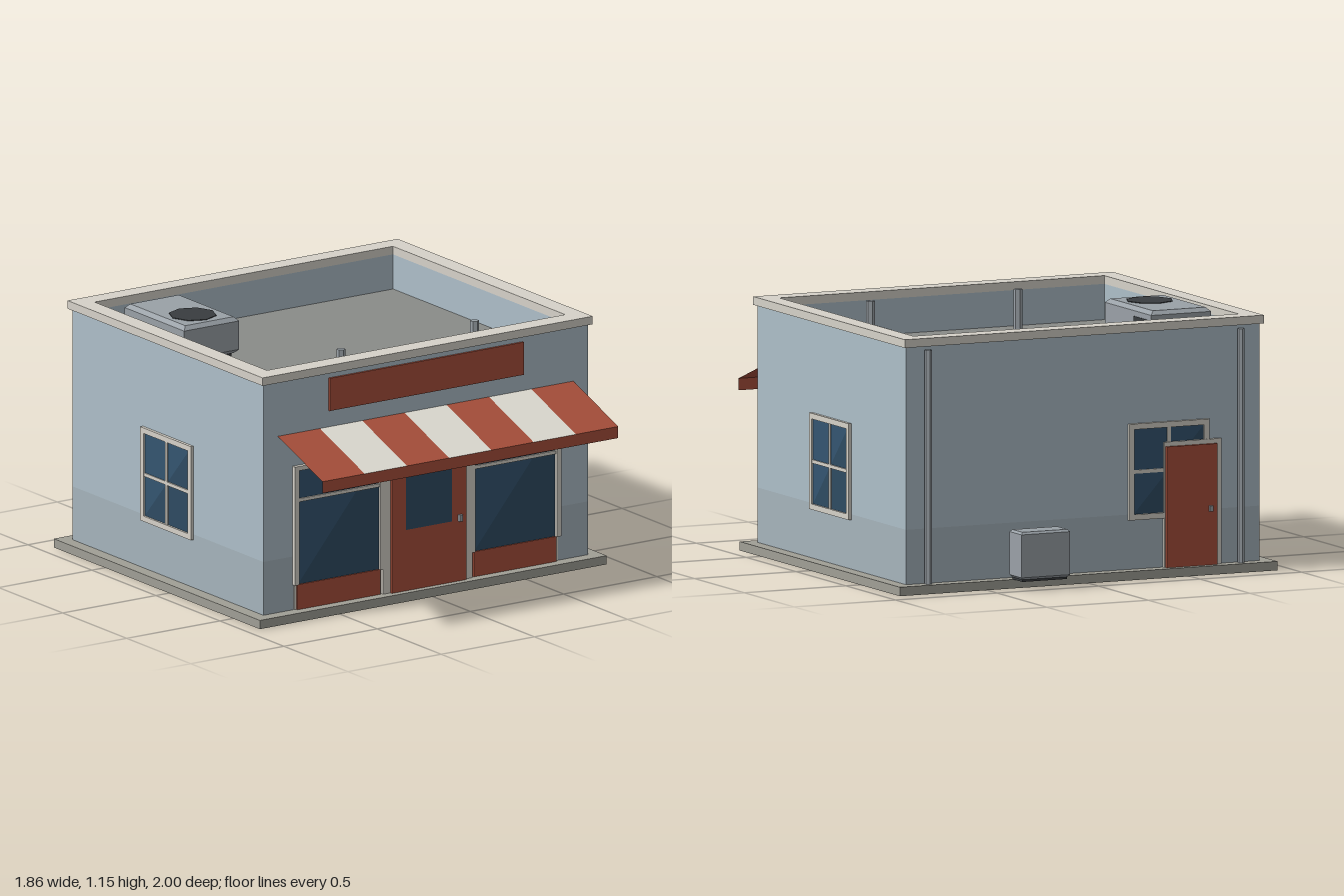
import * as THREE from 'three';

const mat = (color, side = THREE.FrontSide) =>
  new THREE.MeshStandardMaterial({ color, side, flatShading: true });
const M = {
  wall: mat(0xaebfc9), wallLow: mat(0xa6b4bc), trim: mat(0xd6d2c9), slab: mat(0xa09f96),
  roof: mat(0x8a8c89), red: mat(0xa84f3b), glass: mat(0x2e4b62), glint: mat(0x345571),
  metal: mat(0x9aa1a7), dark: mat(0x393c3f),
  clothRed: mat(0xa84f3b, THREE.DoubleSide), clothWhite: mat(0xe0ddd4, THREE.DoubleSide),
};

function add(parent, name, geo, material, x = 0, y = 0, z = 0) {
  const mesh = new THREE.Mesh(geo, material);
  mesh.name = name;
  mesh.position.set(x, y, z);
  parent.add(mesh);
  return mesh;
}

// Box given by its lower and upper limits on each axis
function box(parent, name, material, x0, x1, y0, y1, z0, z1) {
  return add(parent, name, new THREE.BoxGeometry(x1 - x0, y1 - y0, z1 - z0), material,
    (x0 + x1) / 2, (y0 + y1) / 2, (z0 + z1) / 2);
}

function group(parent, name) {
  const g = new THREE.Group();
  g.name = name;
  parent.add(g);
  return g;
}

// Rectangular ring in plan, extruded upwards
function ring(parent, name, material, o, i, y0, y1) {
  const rect = (T, [x, zb, zf]) => new T([[-x, -zf], [x, -zf], [x, -zb], [-x, -zb]]
    .map(p => new THREE.Vector2(...p)));
  const shape = rect(THREE.Shape, o);
  shape.holes.push(rect(THREE.Path, i));
  const geo = new THREE.ExtrudeGeometry(shape, { depth: y1 - y0, bevelEnabled: false });
  geo.rotateX(-Math.PI / 2);
  return add(parent, name, geo, material, 0, y0, 0);
}

// Box whose top is drawn in by a small chamfer
function chamferBox(parent, name, material, x0, x1, y0, y1, z0, z1, c) {
  const w = x1 - x0, d = z1 - z0;
  const shape = new THREE.Shape([[-w / 2 + c, -d / 2 + c], [w / 2 - c, -d / 2 + c],
    [w / 2 - c, d / 2 - c], [-w / 2 + c, d / 2 - c]].map(p => new THREE.Vector2(...p)));
  const geo = new THREE.ExtrudeGeometry(shape, { depth: y1 - y0 - 2 * c, bevelThickness: c,
    bevelSize: c, bevelSegments: 1 });
  geo.rotateX(-Math.PI / 2);
  return add(parent, name, geo, material, (x0 + x1) / 2, y0 + c, (z0 + z1) / 2);
}

// Glass with a lighter upper-left half as a reflection
function pane(parent, x0, x1, y0, y1, z) {
  box(parent, 'glass', M.glass, x0, x1, y0, y1, z - 0.01, z);
  const tri = new THREE.Shape([[x0, y0], [x1, y1], [x0, y1]].map(p => new THREE.Vector2(...p)));
  add(parent, 'glassReflection', new THREE.ShapeGeometry(tri), M.glint, 0, 0, z + 0.002);
}

// Four-pane window, facing +z, centred on its own origin
function fourPaneWindow(parent, name) {
  const g = group(parent, name), w = 0.198, h = 0.215, f = 0.025;
  pane(g, -w + f, w - f, -h + f, h - f, 0.005);
  for (const s of [-1, 1]) {
    const a = s * (w - f / 2), b = s * (h - f / 2);
    box(g, 'sideFrame', M.trim, a - f / 2, a + f / 2, -h, h, -0.01, 0.015);
    box(g, 'endFrame', M.trim, -w + f, w - f, b - f / 2, b + f / 2, -0.01, 0.015);
  }
  box(g, 'verticalBar', M.trim, -0.008, 0.008, -h + f, h - f, 0, 0.012);
  box(g, 'horizontalBar', M.trim, -w + f, w - f, -0.008, 0.008, 0, 0.012);
  return g;
}

function buildShopfront(root) {
  const front = group(root, 'shopfront');
  box(front, 'sign', M.red, -0.52, 0.52, 0.925, 1.075, 0.64, 0.66);

  // Display windows, one each side of the door
  for (const s of [-1, 1]) {
    const win = group(front, 'displayWindow');
    win.position.x = s * 0.4725;
    box(win, 'backing', M.trim, -0.235, 0.235, 0.04, 0.7, 0.64, 0.652);
    pane(win, -0.218, 0.218, 0.155, 0.68, 0.656);
    box(win, 'lowerPanel', M.red, -0.222, 0.222, 0.04, 0.155, 0.64, 0.662);
    box(win, 'transomBar', M.trim, -0.218, 0.218, 0.535, 0.55, 0.65, 0.665);
    box(win, 'topFrame', M.trim, -0.218, 0.218, 0.68, 0.7, 0.65, 0.67);
    for (const e of [-1, 1])
      box(win, 'frameSide', M.trim, e * 0.23 - 0.012, e * 0.23 + 0.012, 0.155, 0.7, 0.64, 0.67);
  }

  const door = group(front, 'frontDoor');
  box(door, 'doorFrame', M.trim, -0.24, 0.24, 0.04, 0.67, 0.64, 0.668);
  box(door, 'doorLeaf', M.red, -0.2, 0.2, 0.04, 0.64, 0.65, 0.679);
  box(door, 'doorGlass', M.glass, -0.125, 0.12, 0.32, 0.575, 0.66, 0.681);
  box(door, 'doorHandle', M.metal, 0.155, 0.173, 0.315, 0.345, 0.67, 0.692);

  // Striped awning: thin sloped strips with a hanging valance
  const awning = group(front, 'awning');
  const n = 7, half = 0.793, w = 2 * half / n, drop = 0.127, reach = 0.35;
  for (let i = 0; i < n; i++) {
    const strip = add(awning, 'awningStripe', new THREE.PlaneGeometry(w, Math.hypot(drop, reach)),
      i % 2 ? M.clothWhite : M.clothRed, -half + (i + 0.5) * w, 0.85 - drop / 2, 0.65 + reach / 2);
    strip.rotation.x = -Math.atan2(reach, drop);
  }
  add(awning, 'valance', new THREE.PlaneGeometry(2 * half, 0.053), M.clothRed, 0, 0.6965, 1);
}

function buildBack(root) {
  const back = group(root, 'backFittings');
  const win = fourPaneWindow(back, 'backWindow');
  win.position.set(-0.42, 0.475, -0.84);
  win.rotation.y = Math.PI;

  const door = group(back, 'backDoor');
  box(door, 'doorFrame', M.trim, -0.675, -0.395, 0.04, 0.6, -0.857, -0.83);
  box(door, 'doorLeaf', M.red, -0.65, -0.4, 0.04, 0.58, -0.87, -0.84);
  box(door, 'doorHandle', M.metal, -0.625, -0.607, 0.28, 0.305, -0.88, -0.86);

  for (const s of [-1, 1])
    add(back, 'downpipe', new THREE.CylinderGeometry(0.016, 0.016, 1.045, 6), M.metal,
      s * 0.77, 0.5625, -0.859);

  const unit = group(back, 'wallUnit');
  box(unit, 'unitFoot', M.dark, 0.15, 0.37, 0.04, 0.055, -0.99, -0.89);
  chamferBox(unit, 'unitBody', M.metal, 0.14, 0.38, 0.05, 0.262, -1, -0.88, 0.01);
}

function buildRoof(root) {
  const roof = group(root, 'roofEquipment'), y = 0.94;

  // Air conditioner on skids with a fan on top and a side grille
  const ac = group(roof, 'airConditioner');
  box(ac, 'skid', M.dark, -0.71, -0.465, y, 0.985, -0.6, -0.19);
  chamferBox(ac, 'housing', M.metal, -0.735, -0.44, 0.985, 1.152, -0.63, -0.165, 0.018);
  const fan = add(ac, 'fan', new THREE.CylinderGeometry(0.107, 0.107, 0.008, 8), M.dark,
    -0.588, 1.151, -0.313);
  fan.rotation.y = Math.PI / 4;
  box(ac, 'grille', M.dark, -0.46, -0.437, 1.02, 1.11, -0.6, -0.46);

  box(roof, 'hatch', M.metal, 0.37, 0.62, y, 1.0, 0.315, 0.56);
  add(roof, 'hatchVent', new THREE.CylinderGeometry(0.02, 0.02, 0.13, 6), M.metal, 0.44, 1.06, 0.393);
  add(roof, 'ventPipe', new THREE.CylinderGeometry(0.02, 0.02, 0.185, 6), M.metal, -0.31, y + 0.0925, 0.44);
}

export function createModel() {
  const root = new THREE.Group();
  root.name = 'shop';

  // Slab, walls and parapet
  box(root, 'baseSlab', M.slab, -0.93, 0.93, 0, 0.04, -0.9, 0.71);
  box(root, 'lowerWalls', M.wallLow, -0.87, 0.87, 0.04, 0.285, -0.84, 0.65);
  box(root, 'upperWalls', M.wall, -0.87, 0.87, 0.285, 0.93, -0.84, 0.65);
  box(root, 'roofDeck', M.roof, -0.81, 0.81, 0.92, 0.94, -0.78, 0.59);
  ring(root, 'parapet', M.wall, [0.87, -0.84, 0.65], [0.802, -0.772, 0.578], 0.93, 1.1);
  ring(root, 'coping', M.trim, [0.885, -0.858, 0.666], [0.8, -0.77, 0.575], 1.1, 1.137);

  for (const s of [-1, 1]) {
    const win = fourPaneWindow(root, s > 0 ? 'leftWindow' : 'rightWindow');
    win.position.set(s * 0.87, 0.475, -0.093);
    win.rotation.y = s * Math.PI / 2;
  }

  buildShopfront(root);
  buildBack(root);
  buildRoof(root);
  return root;
}
